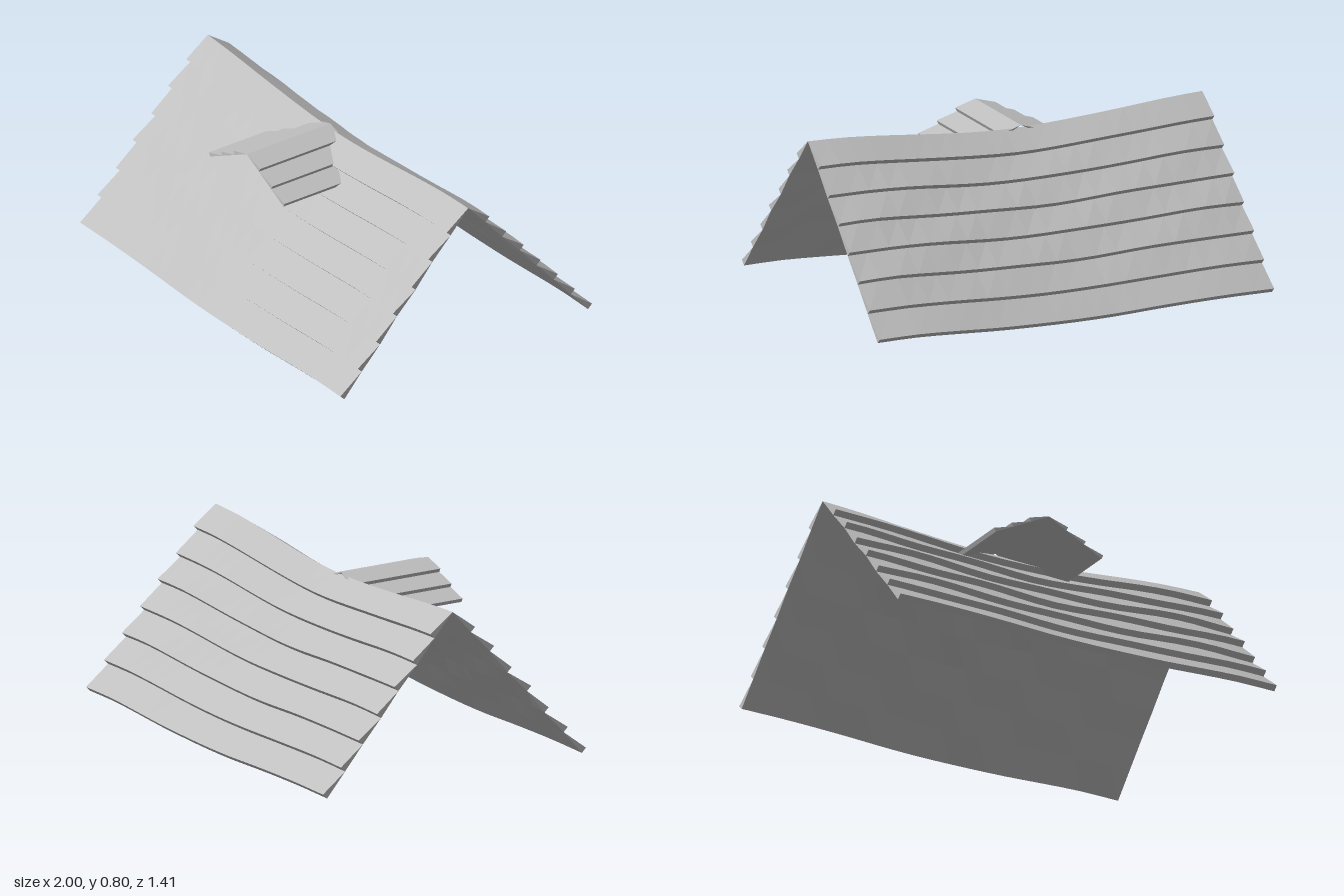
import * as THREE from 'three';

// Smooth height along the length, from samples at even steps of u (0..1)
function heights(samples) {
  const n = samples.length - 1;
  const curve = new THREE.SplineCurve(samples.map((y, i) => new THREE.Vector2(i / n, y)));
  return u => curve.getPoint(u).y;
}

// Surface swept through open cross-sections; caps close triangular ends
function sweep(sections, flip, caps) {
  const pos = [];
  const tri = (a, b, c) => {
    for (const p of flip ? [a, c, b] : [a, b, c]) pos.push(p.x, p.y, p.z);
  };
  for (let i = 0; i < sections.length - 1; i++) {
    const a = sections[i], b = sections[i + 1];
    for (let j = 0; j < a.length - 1; j++) {
      tri(a[j], a[j + 1], b[j + 1]);
      tri(a[j], b[j + 1], b[j]);
    }
  }
  if (caps) {
    const first = sections[0], last = sections[sections.length - 1];
    tri(first[0], first[2], first[1]);
    tri(last[0], last[1], last[2]);
  }
  const geo = new THREE.BufferGeometry();
  geo.setAttribute('position', new THREE.Float32BufferAttribute(pos, 3));
  geo.computeVertexNormals();
  return geo;
}

// Gable roof: a thin deck on each side carrying overlapping wedge courses.
// point(u, side, t, lift): u along the ridge, t from ridge to eave, lift off the deck
function gableRoof(name, point, rows, segments, lift, material) {
  const group = new THREE.Group();
  group.name = name;
  const us = Array.from({ length: segments + 1 }, (_, i) => i / segments);
  const add = (part, geo) => {
    const mesh = new THREE.Mesh(geo, material);
    mesh.name = part;
    group.add(mesh);
  };
  for (const side of [1, -1]) {
    const label = side > 0 ? 'A' : 'B';
    const ts = Array.from({ length: rows + 1 }, (_, k) => k / rows);
    add('deck' + label, sweep(us.map(u => ts.map(t => point(u, side, t, 0))), side < 0, false));
    for (let k = 0; k < rows; k++) {
      const t0 = k / rows, t1 = (k + 1) / rows;
      const sections = us.map(u => [
        point(u, side, t0, 0), point(u, side, t1, lift), point(u, side, t1, 0),
      ]);
      add('shingleCourse' + label + (k + 1), sweep(sections, side < 0, true));
    }
  }
  return group;
}

export function createModel() {
  const model = new THREE.Group();
  model.name = 'shingleRoof';
  const shingleGrey = new THREE.MeshStandardMaterial({ color: 0xbfbfbf, side: THREE.DoubleSide });
  shingleGrey.name = 'shingleGrey';

  // Main roof with a sagging ridge and uneven eaves
  const ridge = heights([0.78, 0.771, 0.756, 0.743, 0.733, 0.73, 0.74, 0.759, 0.78, 0.797, 0.804]);
  const eave = heights([0.014, 0.016, 0.014, 0.009, 0.002, 0.001, 0.005, 0.012, 0.024, 0.034, 0.034]);
  const mainPoint = (u, side, t, lift) => {
    const bulge = Math.sin(Math.PI * t) * (0.004 + 0.014 * Math.sin(Math.PI * u));
    const wave = 0.003 * Math.sin(Math.PI * t) * Math.sin(u * 19 + t * 23 + side);
    return new THREE.Vector3(
      0.9925 * (2 * u - 1) + 0.0075 - 0.015 * t,
      THREE.MathUtils.lerp(ridge(u), eave(u), t) + bulge + wave + lift * 0.69,
      -0.006 + side * (0.683 * t + lift * 0.72 + wave),
    );
  };
  model.add(gableRoof('mainRoof', mainPoint, 7, 20, 0.031, shingleGrey));

  // Small dormer roof running back into the main roof
  const dormerPoint = (u, side, t, lift) => new THREE.Vector3(
    -0.0675 + side * (0.279 * t + lift * 0.45),
    0.743 - 0.143 * t + lift * 0.89,
    0.45 - 0.467 * u,
  );
  model.add(gableRoof('dormerRoof', dormerPoint, 3, 1, 0.02, shingleGrey));

  return model;
}
